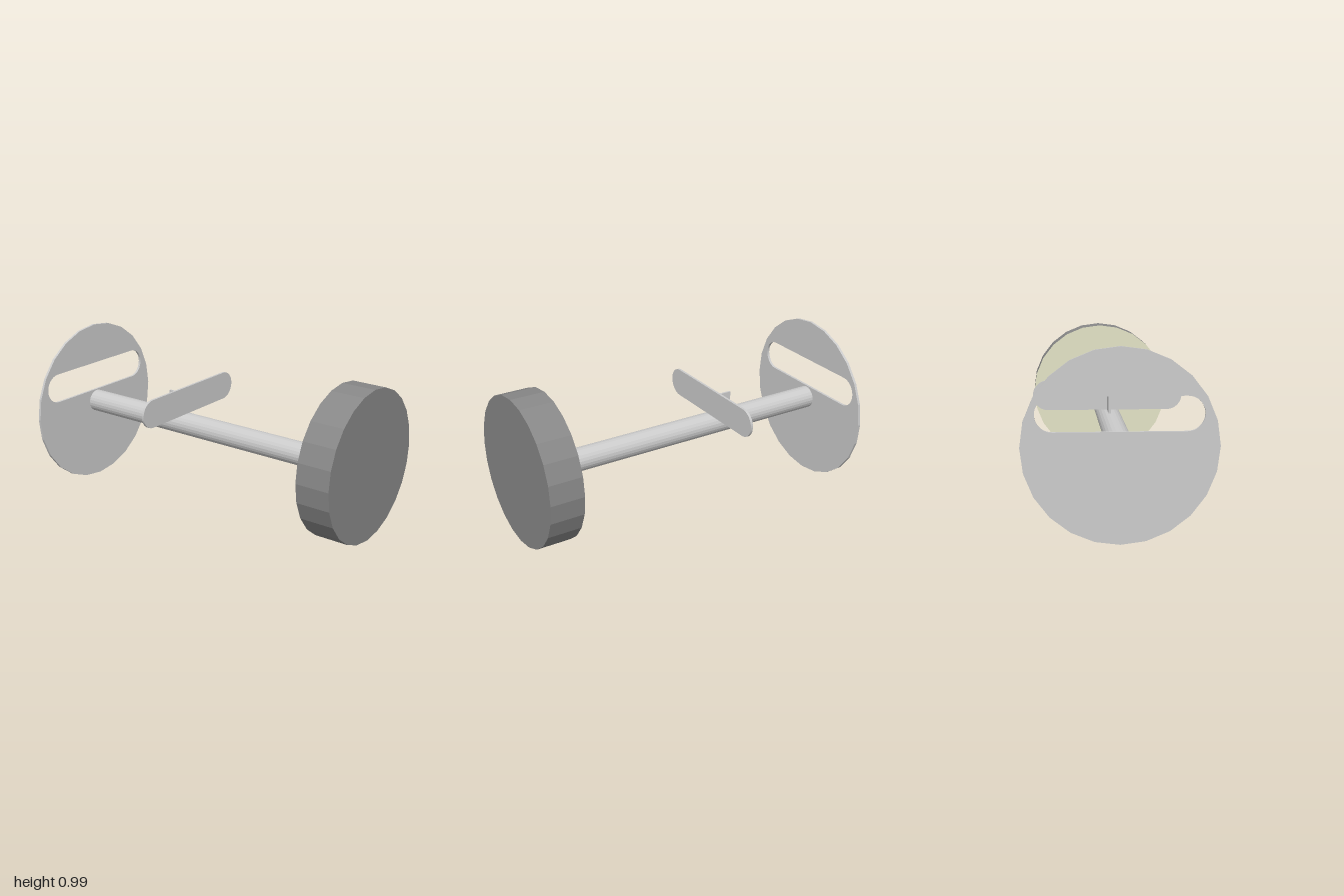
import * as THREE from 'three';

const material = (color) => new THREE.MeshStandardMaterial({ color, flatShading: true });

export function createModel() {
  const model = new THREE.Group();
  const grey = material(0xcccccc);
  const darkGrey = material(0x888888);
  const cream = material(0xe3e3c6);

  function add(name, geometry, mat, x = 0, y = 0, z = 0) {
    const mesh = new THREE.Mesh(geometry, mat);
    mesh.name = name;
    mesh.position.set(x, y, z);
    model.add(mesh);
    return mesh;
  }

  // Horizontal stadium outline, centred on (cx, cy)
  function stadium(path, cx, cy, halfWidth, r) {
    const dx = halfWidth - r;
    path.absarc(cx + dx, cy, r, -Math.PI / 2, Math.PI / 2, false);
    path.absarc(cx - dx, cy, r, Math.PI / 2, Math.PI * 1.5, false);
    path.closePath();
    return path;
  }

  const extrude = (shape, depth) =>
    new THREE.ExtrudeGeometry(shape, { depth, bevelEnabled: false, curveSegments: 12 });

  // Front drum: dark front and rim, cream back
  const drum = add('frontDrum',
    new THREE.CylinderGeometry(0.43, 0.43, 0.197, 24).rotateX(Math.PI / 2),
    [darkGrey, darkGrey, cream], 0, 0.525, 0.9015);
  drum.geometry.computeVertexNormals();

  // Shaft joining the drum to the rear disc
  add('shaft',
    new THREE.CylinderGeometry(0.067, 0.067, 1.788, 24).rotateX(Math.PI / 2),
    grey, -0.003, 0.498, -0.091);

  // Thin rear disc with a wide slot
  const disc = new THREE.Shape();
  for (let i = 0; i < 24; i++) {
    const a = (i / 24) * Math.PI * 2;
    disc[i ? 'lineTo' : 'moveTo'](0.495 * Math.cos(a), 0.495 * Math.sin(a));
  }
  disc.closePath();
  disc.holes.push(stadium(new THREE.Path(), 0.002, 0.163, 0.42, 0.088));
  add('rearDisc', extrude(disc, 0.015), grey, -0.002, 0.497, -1);

  // Rounded plate standing on the shaft
  add('crossPlate', extrude(stadium(new THREE.Shape(), 0, 0, 0.415, 0.083), 0.014),
    grey, 0.015, 0.648, -0.255);

  // Upright fin bracing the plate from behind
  add('plateFin', new THREE.BoxGeometry(0.012, 0.125, 0.133), grey, 0.011, 0.6175, -0.3205);

  return model;
}
